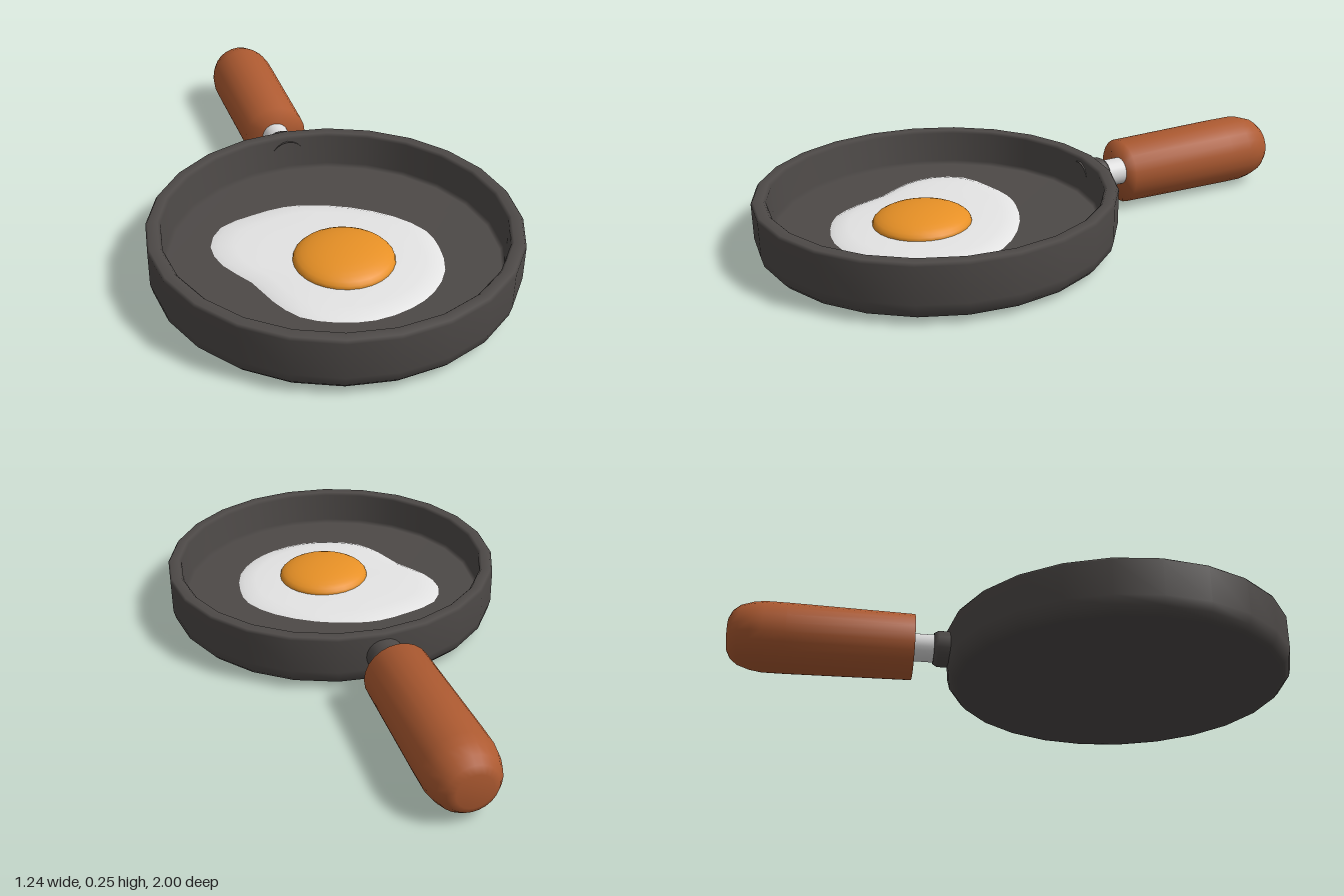
import * as THREE from 'three';

const mat = (name, color) => new THREE.MeshStandardMaterial({ name, color });

// Smooth body of revolution about y from [radius, height] pairs
function lathe(pairs, sides) {
  return new THREE.LatheGeometry(pairs.map(([r, y]) => new THREE.Vector2(r, y)), sides);
}

// Domed sheet: a closed outline shrunk towards its middle in rings of given scale and height
function dome(outline, cx, cz, rings, topY) {
  const n = outline.length;
  const pos = [cx, topY, cz];
  const index = [];
  for (const [s, y] of rings) {
    for (const p of outline) pos.push(cx + (p.x - cx) * s, y, cz + (p.z - cz) * s);
  }
  for (let i = 0; i < n; i++) {
    const j = (i + 1) % n;
    index.push(0, 1 + j, 1 + i);
    for (let k = 0; k < rings.length - 1; k++) {
      const a = 1 + k * n, b = a + n;
      index.push(a + i, a + j, b + i, a + j, b + j, b + i);
    }
  }
  const g = new THREE.BufferGeometry();
  g.setAttribute('position', new THREE.Float32BufferAttribute(pos, 3));
  g.setIndex(index);
  g.computeVertexNormals();
  return g;
}

export function createModel() {
  const group = new THREE.Group();
  group.name = 'fryingPan';

  const iron = mat('darkIron', 0x4d4947);
  const wood = mat('brownWood', 0xad5a31);
  const steel = mat('lightSteel', 0xdedede);
  const white = mat('eggWhite', 0xe4e4e4);
  const yellow = mat('yolkOrange', 0xe89126);

  const add = (name, geometry, material, x = 0, y = 0, z = 0) => {
    const mesh = new THREE.Mesh(geometry, material);
    mesh.name = name;
    mesh.position.set(x, y, z);
    group.add(mesh);
    return mesh;
  };

  // Pan: underside, rounded lower edge, wall, rim, inner wall and floor
  add('pan', lathe([
    [0, 0.02], [0.58, 0.02], [0.595, 0.023], [0.612, 0.042], [0.62, 0.075],
    [0.62, 0.2], [0.613, 0.21], [0.58, 0.21], [0.571, 0.2],
    [0.565, 0.09], [0.555, 0.076], [0, 0.076],
  ], 24), iron, 0, 0, 0.38);

  // Handle parts run along -z, so profile heights are distances behind z = 0
  const axisY = 0.127;
  const handlePart = (name, pairs, sides, material) =>
    add(name, lathe(pairs, sides).rotateX(-Math.PI / 2), material, 0, axisY, 0);

  handlePart('collar', [
    [0.065, 0.18], [0.065, 0.272], [0.056, 0.288], [0, 0.29],
  ], 20, iron);
  handlePart('rod', [[0.05, 0.27], [0.05, 0.4]], 20, steel);
  handlePart('handle', [
    [0, 0.36], [0.118, 0.36], [0.125, 0.8], [0.125, 0.88], [0.119, 0.92],
    [0.105, 0.962], [0.085, 0.987], [0.06, 1.0], [0, 1.0],
  ], 24, wood);

  // Egg white: wavy outline given as x, z
  const edge = [
    [-0.09, 0.06], [0.005, 0.075], [0.14, 0.13], [0.27, 0.23], [0.345, 0.345],
    [0.352, 0.45], [0.32, 0.58], [0.24, 0.68], [0.14, 0.737], [0.01, 0.762],
    [-0.11, 0.737], [-0.21, 0.68], [-0.27, 0.58], [-0.31, 0.465],
    [-0.38, 0.345], [-0.395, 0.23], [-0.335, 0.125], [-0.21, 0.08],
  ].map(([x, z]) => new THREE.Vector3(x, 0, z));
  const outline = new THREE.CatmullRomCurve3(edge, true).getPoints(36).slice(0, 36);
  add('eggWhite', dome(outline, 0, 0.43,
    [[0.5, 0.094], [0.8, 0.09], [0.93, 0.084], [1, 0.074]], 0.095), white);

  // Yolk: flattened ball resting in the white
  const yolk = new THREE.SphereGeometry(0.17, 28, 16).scale(1, 0.3, 1);
  add('yolk', yolk, yellow, 0.012, 0.094, 0.445);

  return group;
}
